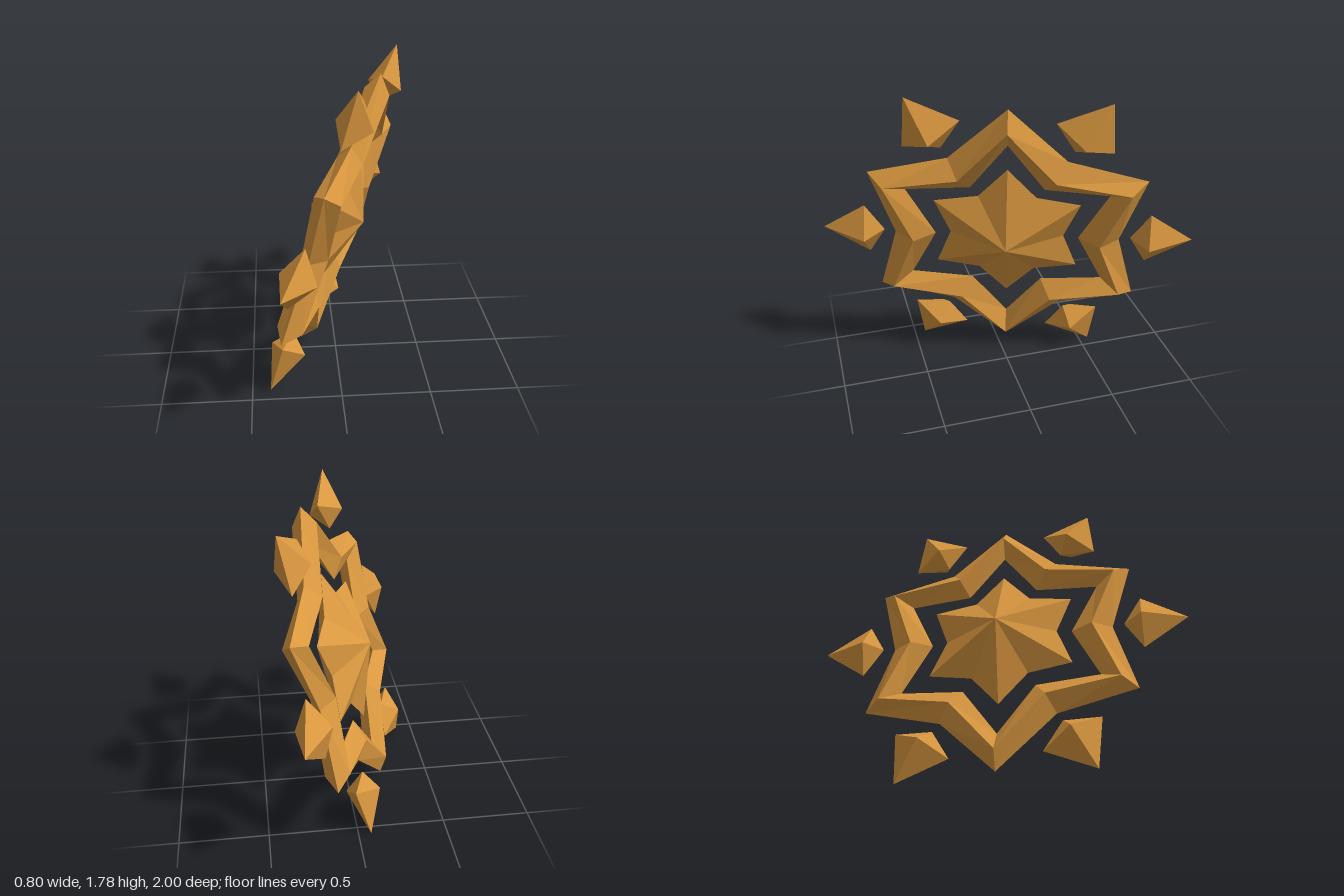
import * as THREE from 'three';

const POINTS = 6;

// Flat-shaded mesh from a triangle list of Vector3 corners
function facetMesh(name, tris, material) {
  const geometry = new THREE.BufferGeometry().setFromPoints(tris);
  geometry.computeVertexNormals();
  const mesh = new THREE.Mesh(geometry, material);
  mesh.name = name;
  return mesh;
}

// Closed zigzag outline: even corners are tips, odd corners are valleys
function starLoop(tip, valley, z) {
  return Array.from({ length: POINTS * 2 }, (_, i) => {
    const a = Math.PI / 2 + (i * Math.PI) / POINTS;
    const r = i % 2 ? valley : tip;
    return new THREE.Vector3(r * Math.cos(a), r * Math.sin(a), z);
  });
}

export function createModel() {
  const gold = new THREE.MeshStandardMaterial({ color: 0xd9973f, flatShading: true });
  gold.name = 'gold';

  const model = new THREE.Group();
  model.name = 'starOrnament';
  const emblem = new THREE.Group();
  emblem.name = 'tiltedEmblem';
  model.add(emblem);

  // Central faceted star: rim joined to a front and a back apex
  const rim = starLoop(0.468, 0.32, 0.012);
  const front = new THREE.Vector3(0, 0.006, 0.165);
  const back = new THREE.Vector3(0, 0.003, -0.15);
  const starTris = [];
  rim.forEach((p, i) => {
    const q = rim[(i + 1) % rim.length];
    starTris.push(front, p, q, back, q, p);
  });
  const star = facetMesh('centreStar', starTris, gold);
  star.position.y = 0.012;
  emblem.add(star);

  // Star-shaped ring with a diamond cross-section
  const loops = [
    starLoop(0.87, 0.635, 0.014),
    starLoop(0.77, 0.525, 0.092),
    starLoop(0.643, 0.405, 0.014),
    starLoop(0.77, 0.525, -0.048),
  ];
  const ringTris = [];
  loops.forEach((a, k) => {
    const b = loops[(k + 1) % loops.length];
    a.forEach((p, i) => {
      const j = (i + 1) % a.length;
      ringTris.push(p, a[j], b[j], p, b[j], b[i]);
    });
  });
  emblem.add(facetMesh('starRing', ringTris, gold));

  // Six pointed shards floating between the ring tips
  const tip = new THREE.Vector3(1.05, 0, -0.004);
  const base = new THREE.Vector3(0.7, 0, 0);
  const girdle = [[0.178, 0], [0, 0.11], [-0.178, 0], [0, -0.09]]
    .map(([y, z]) => new THREE.Vector3(0.8, y, z));
  const shardTris = [];
  girdle.forEach((p, i) => {
    const q = girdle[(i + 1) % girdle.length];
    shardTris.push(tip, p, q, base, q, p);
  });
  for (let i = 0; i < POINTS; i++) {
    const shard = facetMesh('shard' + (i + 1), shardTris, gold);
    shard.rotation.z = (i * Math.PI * 2) / POINTS;
    emblem.add(shard);
  }

  // Tilt the emblem so it faces mostly sideways
  const right = new THREE.Vector3(0.309, -0.019, -0.951).normalize();
  const up = new THREE.Vector3(0.253, 0.965, 0.066);
  const facing = new THREE.Vector3().crossVectors(right, up).normalize();
  up.crossVectors(facing, right);
  emblem.quaternion.setFromRotationMatrix(new THREE.Matrix4().makeBasis(right, up, facing));
  emblem.position.y = 0.888;

  return model;
}
